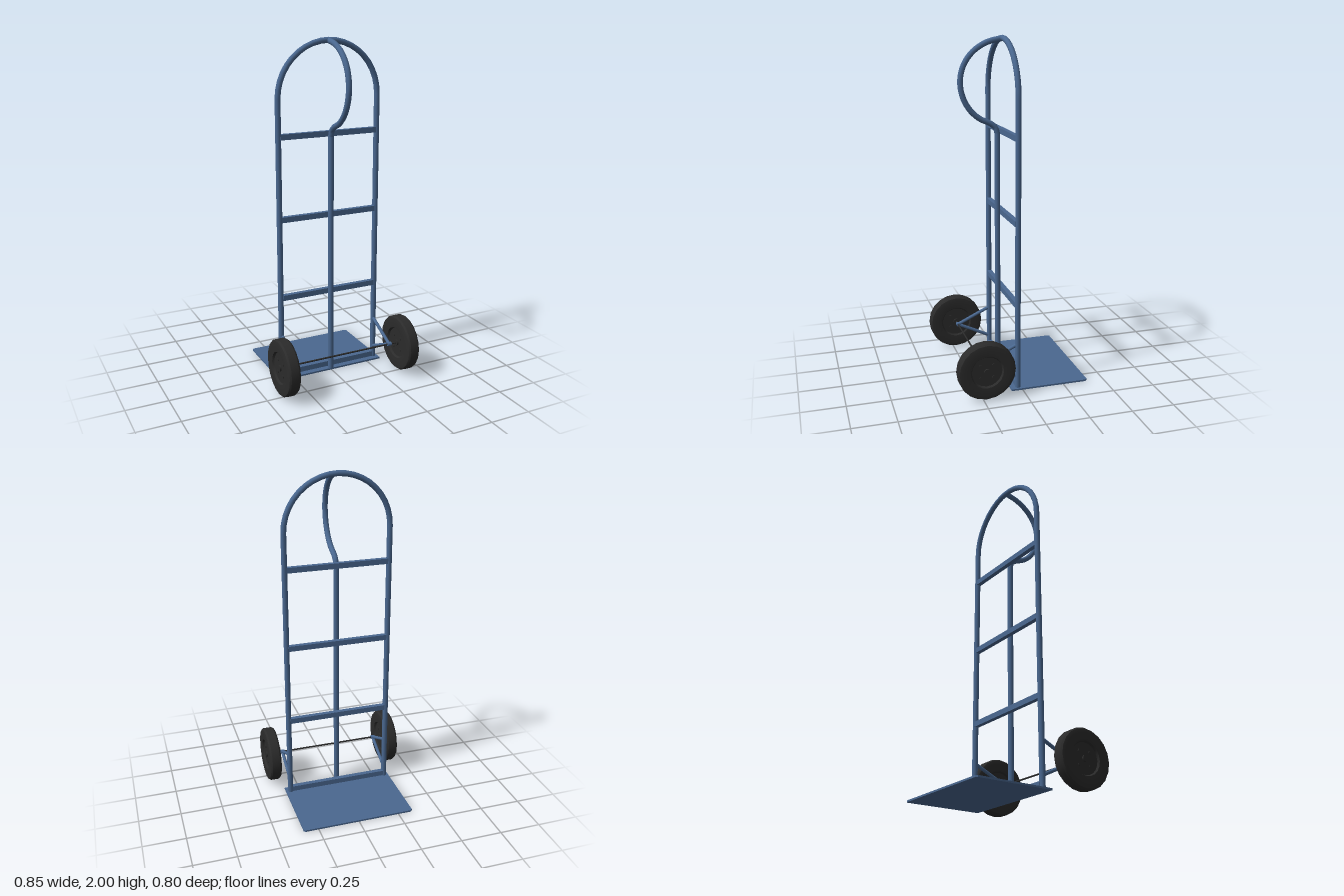
import * as THREE from 'three';
import { toCreasedNormals } from 'three/addons/utils/BufferGeometryUtils.js';

const V = (x, y, z) => new THREE.Vector3(x, y, z);

export function createModel() {
  const group = new THREE.Group();
  const blue = new THREE.MeshStandardMaterial({ color: 0x4a6890 });
  blue.name = 'blue painted steel';
  const black = new THREE.MeshStandardMaterial({ color: 0x2b2b2b });
  black.name = 'black rubber';

  const add = (name, geometry, material, parent = group) => {
    const mesh = new THREE.Mesh(geometry, material);
    mesh.name = name;
    parent.add(mesh);
    return mesh;
  };

  // Straight round bar between two points
  const rod = (name, a, b, radius, material, parent = group) => {
    const mesh = add(name, new THREE.CylinderGeometry(radius, radius, a.distanceTo(b), 12), material, parent);
    mesh.position.copy(a).add(b).multiplyScalar(0.5);
    mesh.quaternion.setFromUnitVectors(V(0, 1, 0), b.clone().sub(a).normalize());
    return mesh;
  };

  // Frame: two uprights joined by a semicircular arch
  const R = 0.312, tube = 0.0165, frameZ = 0.0235, archY = 1.6715;
  for (const s of [-1, 1]) {
    rod('frameUpright', V(s * R, 0.01, frameZ), V(s * R, archY, frameZ), tube, blue);
  }
  const arch = add('frameArch', new THREE.TorusGeometry(R, tube, 12, 20, Math.PI), blue);
  arch.position.set(0, archY, frameZ);

  // Cross bars
  for (const y of [0.03, 0.51, 0.985, 1.462]) {
    const bar = add('crossBar', new THREE.BoxGeometry(2 * R - 0.02, 0.032, 0.028), blue);
    bar.position.set(0, y, frameZ);
  }

  // Centre post and the looped handle that continues it
  const postZ = 0.054;
  rod('centrePost', V(0, 0.01, postZ), V(0, 1.455, postZ), tube, blue);
  const handlePath = new THREE.CatmullRomCurve3([
    V(0, 1.45, postZ), V(0, 1.485, 0.066), V(0, 1.51, 0.1), V(0, 1.535, 0.155),
    V(0, 1.585, 0.212), V(0, 1.66, 0.254), V(0, 1.75, 0.268), V(0, 1.84, 0.246),
    V(0, 1.914, 0.19), V(0, 1.962, 0.11), V(0, 1.982, frameZ),
  ]);
  add('loopHandle', new THREE.TubeGeometry(handlePath, 36, tube, 12), blue);

  // Toe plate with clipped corners
  const w = 0.34, c = 0.01, z0 = -0.4, z1 = 0.066;
  const outline = new THREE.Shape([
    [-w, -z1], [w, -z1], [w, -z0 - c], [w - c, -z0], [-w + c, -z0], [-w, -z0 - c],
  ].map(([x, y]) => new THREE.Vector2(x, y)));
  const plate = new THREE.ExtrudeGeometry(outline, { depth: 0.01, bevelEnabled: false });
  plate.rotateX(-Math.PI / 2);
  add('toePlate', plate, blue);

  // Axle
  const axleY = 0.176, axleZ = 0.2315;
  rod('axle', V(-0.37, axleY, axleZ), V(0.37, axleY, axleZ), 0.005, black);

  // Wheel section: hub dish, rim lip, sidewall and tread
  const half = [[0, 0.022], [0.088, 0.022], [0.095, 0.034], [0.14, 0.0375], [0.16, 0.034], [0.167, 0.024]];
  const section = [
    ...half.map(([r, x]) => new THREE.Vector2(r, -x)),
    ...half.slice().reverse().map(([r, x]) => new THREE.Vector2(r, x)),
  ];
  const wheelGeometry = toCreasedNormals(new THREE.LatheGeometry(section, 20).rotateZ(-Math.PI / 2), 0.6);

  for (const s of [-1, 1]) {
    // V-shaped axle brackets and sleeve
    const bx = s * 0.309;
    for (const y of [0.27, 0.082]) {
      rod('axleBracket', V(bx, y, frameZ + 0.01), V(bx, axleY, axleZ), 0.01, blue);
    }
    rod('axleSleeve', V(bx - 0.013, axleY, axleZ), V(bx + 0.013, axleY, axleZ), 0.0115, blue);

    // Wheel with hub cap and bolts on both faces
    const wheel = new THREE.Group();
    wheel.name = 'wheel';
    wheel.position.set(s * 0.386, axleY, axleZ);
    group.add(wheel);
    add('tyreAndHub', wheelGeometry, black, wheel);
    rod('hubCap', V(-0.032, 0, 0), V(0.032, 0, 0), 0.018, black, wheel);
    for (let i = 0; i < 4; i++) {
      const a = Math.PI / 4 + i * Math.PI / 2;
      const y = 0.052 * Math.sin(a), z = 0.052 * Math.cos(a);
      rod('hubBolt', V(-0.026, y, z), V(0.026, y, z), 0.009, black, wheel);
    }
  }

  return group;
}
